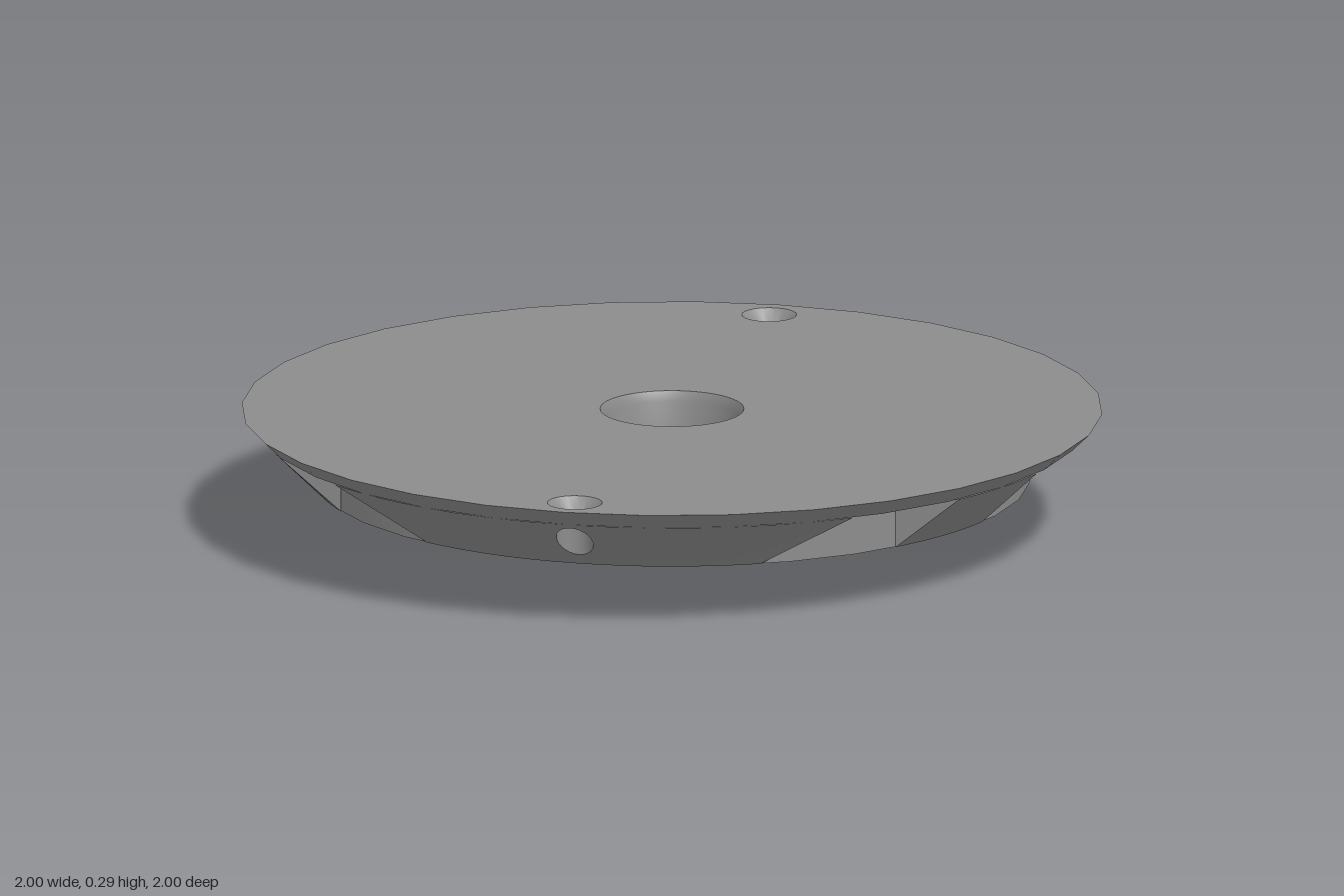
import * as THREE from 'three';
import { toCreasedNormals } from 'three/addons/utils/BufferGeometryUtils.js';

const TOP = 0.295, BASE = 0.13, CEIL = 0.255; // disc top, rim underside, pocket ceiling
const CORE = 0.832, RIM = 1;                  // radius of rim underside and of top edge
const SCREW_Z = 0.905, NECK_R = 0.037, BORE_R = 0.043, SINK_R = 0.064;
const PATCH = 0.1;                            // half angle of the patch around a screw hole
const coneY = r => BASE + (r - CORE) * (TOP - BASE) / (RIM - CORE);
const coneR = y => CORE + (y - BASE) * (RIM - CORE) / (TOP - BASE);
const CEIL_R = coneR(CEIL);
const material = new THREE.MeshStandardMaterial({ color: 0x8c8c8c });

function mesh(name, geometry) {
  const m = new THREE.Mesh(geometry, material);
  m.name = name;
  return m;
}

function lathe(points, segments) {
  const g = new THREE.LatheGeometry(points.map(p => new THREE.Vector2(...p)), segments);
  return toCreasedNormals(g, 0.5);
}

function ring(cx, cy, r, n) {
  return Array.from({ length: n }, (_, i) => {
    const a = i / n * Math.PI * 2;
    return new THREE.Vector2(cx + r * Math.cos(a), cy + r * Math.sin(a));
  });
}

// Cone sector between two edges given as angle(r); optional flat end walls down to the core
function fin(angleA, angleB, wallA, wallB) {
  const pos = [];
  const at = (r, y, a) => [r * Math.cos(a), y, r * Math.sin(a)];
  const add = (...pts) => pts.forEach(p => pos.push(...p));
  const n = 6;
  const low = t => at(CORE, BASE, THREE.MathUtils.lerp(angleA(CORE), angleB(CORE), t));
  const high = t => at(CEIL_R, CEIL, THREE.MathUtils.lerp(angleA(CEIL_R), angleB(CEIL_R), t));
  for (let i = 0; i < n; i++) {
    const s = i / n, e = (i + 1) / n;
    add(low(s), high(s), low(e), low(e), high(s), high(e));
  }
  if (wallA) add(low(0), at(CORE, CEIL, angleA(CORE)), high(0));
  if (wallB) add(low(1), high(1), at(CORE, CEIL, angleB(CORE)));
  const g = new THREE.BufferGeometry();
  g.setAttribute('position', new THREE.Float32BufferAttribute(pos, 3));
  return toCreasedNormals(g, 0.5);
}

// Piece of the cone pierced by the screw hole, laid out as (angle, radius) and then wrapped
function screwPatch() {
  const shape = new THREE.Shape([
    [-PATCH, CORE], [0, CORE], [PATCH, CORE], [PATCH, CEIL_R], [0, CEIL_R], [-PATCH, CEIL_R],
  ].map(p => new THREE.Vector2(...p)));
  shape.holes.push(new THREE.Path(ring(0, SCREW_Z, BORE_R, 24)
    .map(p => new THREE.Vector2(Math.atan2(p.x, p.y), p.length()))));
  const g = new THREE.ShapeGeometry(shape);
  const p = g.attributes.position;
  for (let i = 0; i < p.count; i++) {
    const u = p.getX(i), r = p.getY(i);
    p.setXYZ(i, r * Math.sin(u), coneY(r), r * Math.cos(u));
  }
  g.computeVertexNormals();
  return g;
}

// Countersink, neck and wider lower bore whose end follows the cone
function screwHole() {
  const g = new THREE.LatheGeometry([
    [SINK_R, TOP], [NECK_R, 0.265], [NECK_R, 0.25], [BORE_R, 0.25], [BORE_R, 0],
  ].map(p => new THREE.Vector2(...p)), 24);
  g.translate(0, 0, SCREW_Z);
  const p = g.attributes.position;
  for (let i = 0; i < p.count; i++) {
    if (p.getY(i) < 0.1) p.setY(i, coneY(Math.hypot(p.getX(i), p.getZ(i))));
  }
  return toCreasedNormals(g, 0.5);
}

export function createModel() {
  const model = new THREE.Group();
  model.name = 'flangedDisc';

  // Flat top with the centre bore and two countersinks
  const top = new THREE.Shape(ring(0, 0, RIM, 32));
  top.holes.push(new THREE.Path(ring(0, 0, 0.167, 64)));
  for (const s of [-1, 1]) top.holes.push(new THREE.Path(ring(0, s * SCREW_Z, SINK_R, 24)));
  model.add(mesh('topFace', new THREE.ShapeGeometry(top).rotateX(-Math.PI / 2).translate(0, TOP, 0)));

  // Hub: bore from the top down, rounded nose, flared outside up to the plate
  model.add(mesh('hub', lathe([
    [0.167, TOP], [0.156, 0.272], [0.156, 0.06], [0.163, 0.05], [0.163, 0.008],
    [0.17, 0], [0.183, 0], [0.195, 0.006], [0.203, 0.02], [0.25, BASE],
    [0.277, 0.185], [0.3, 0.21], [0.324, 0.226],
  ], 64)));

  // Plate underside, stepped inner wall, rim foot, core wall, pocket ceiling and upper edge
  model.add(mesh('rim', lathe([
    [0.32, 0.226], [0.71, 0.226], [0.715, 0.188], [0.748, 0.168], [0.76, BASE], [CORE, BASE],
    [CORE, CEIL], [CEIL_R, CEIL], [RIM, TOP],
  ], 32)));

  // Solid rim sections left between the side pockets, repeated on the opposite half
  const edge = z => r => Math.asin(z / r);
  const farEdge = z => r => Math.PI - Math.asin(z / r);
  const fixed = a => () => a;
  for (let i = 0; i < 2; i++) {
    const half = new THREE.Group();
    half.name = i ? 'backHalfRim' : 'frontHalfRim';
    half.rotation.y = i * Math.PI;
    half.add(
      mesh('rimSection', fin(edge(0.225), edge(0.5), true, true)),
      mesh('rimSection', fin(farEdge(0.5), farEdge(0.225), true, true)),
      mesh('screwSectionLeft', fin(edge(0.73), fixed(Math.PI / 2 - PATCH), true, false)),
      mesh('screwSectionRight', fin(fixed(Math.PI / 2 + PATCH), farEdge(0.73), false, true)),
      mesh('screwSectionMiddle', screwPatch()),
      mesh('screwHole', screwHole()),
    );
    model.add(half);
  }
  return model;
}
